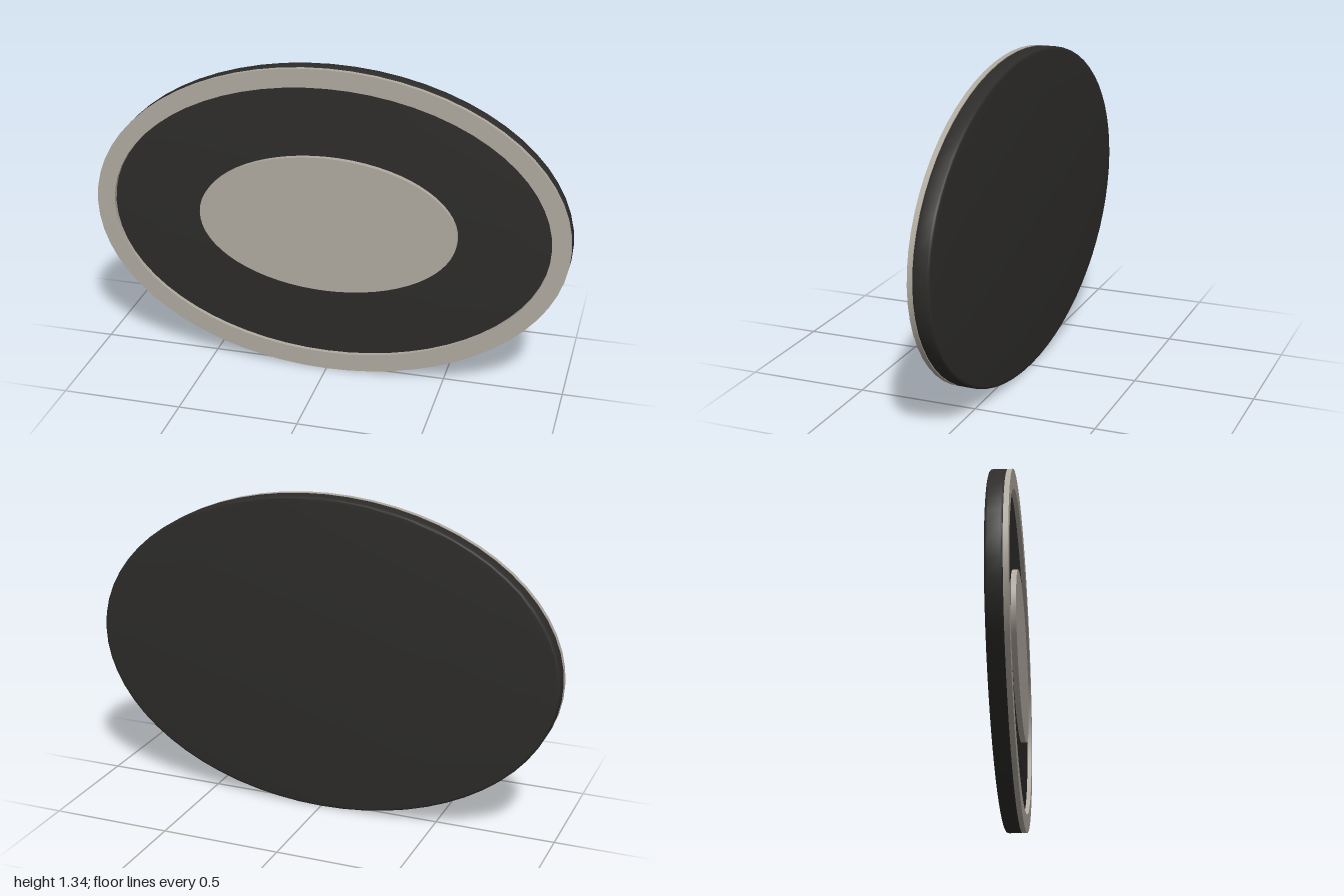
import * as THREE from 'three';
import { toCreasedNormals } from 'three/addons/utils/BufferGeometryUtils.js';

const CENTRE_Y = 0.67;

function ellipse(rx, ry, PathType = THREE.Shape) {
  return new PathType().absellipse(0, 0, rx, ry, 0, Math.PI * 2, false, 0);
}

// Extrudes an outline from zBack to zFront, with an optional rounded edge inside that depth
function plate(name, shape, zBack, zFront, color, bevel = 0) {
  const geometry = new THREE.ExtrudeGeometry(shape, {
    depth: zFront - zBack - 2 * bevel,
    curveSegments: 32,
    bevelEnabled: bevel > 0,
    bevelThickness: bevel,
    bevelSize: bevel,
    bevelSegments: 3,
  });
  geometry.translate(0, CENTRE_Y, zBack + bevel);
  const mesh = new THREE.Mesh(
    toCreasedNormals(geometry, Math.PI / 5),
    new THREE.MeshStandardMaterial({ color })
  );
  mesh.name = name;
  return mesh;
}

export function createModel() {
  const group = new THREE.Group();
  group.name = 'ovalBadge';
  const dark = 0x2d2c2a, pale = 0xb0aaa0;

  // Dark oval body with softened edges
  const bevel = 0.01;
  group.add(plate('base', ellipse(1 - bevel, 0.67 - bevel), -0.045, 0.024, dark, bevel));

  // Raised pale border
  const border = ellipse(1, 0.67);
  border.holes.push(ellipse(0.923, 0.592, THREE.Path));
  group.add(plate('borderRing', border, 0.022, 0.042, pale));

  // Raised pale oval in the middle
  group.add(plate('centrePlate', ellipse(0.544, 0.297), 0.022, 0.046, pale));

  return group;
}
